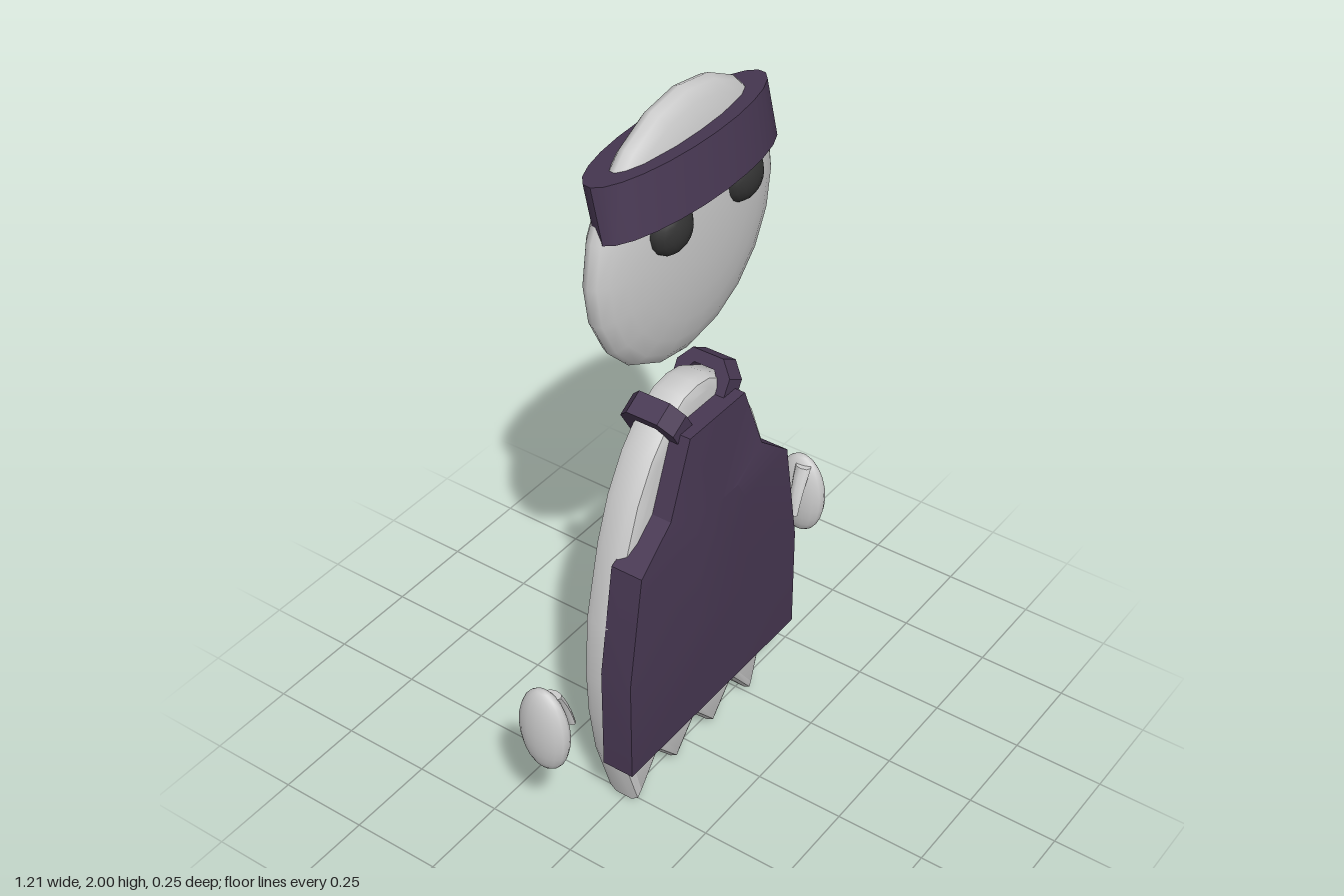
import * as THREE from 'three';
import { toCreasedNormals } from 'three/addons/utils/BufferGeometryUtils.js';

const grey = new THREE.MeshStandardMaterial({ color: 0xcccccc });
const cloth = new THREE.MeshStandardMaterial({ color: 0x483853 });
const dark = new THREE.MeshStandardMaterial({ color: 0x333333 });

function add(parent, name, geometry, material) {
  const mesh = new THREE.Mesh(geometry, material);
  mesh.name = name;
  parent.add(mesh);
  return mesh;
}

// Points of the right half, completed by their mirror image
const mirrored = (half) => [...half, ...half.filter(([x]) => x > 0).reverse().map(([x, y]) => [-x, y])];
const toShape = (points) => new THREE.Shape(points.map(([x, y]) => new THREE.Vector2(x, y)));

// Low-poly ellipsoid with its poles along z
function disc(rx, ry, rz, sides, rows) {
  return new THREE.SphereGeometry(1, sides, rows).rotateX(Math.PI / 2).scale(rx, ry, rz);
}

// Joins rings of equal length into one closed surface
function loft(rings) {
  const n = rings[0].length;
  const index = [];
  for (let r = 0; r < rings.length - 1; r++) {
    for (let i = 0; i < n; i++) {
      const a = r * n + i, b = r * n + (i + 1) % n;
      index.push(a, b, b + n, a, b + n, a + n);
    }
  }
  const geometry = new THREE.BufferGeometry();
  geometry.setAttribute('position', new THREE.Float32BufferAttribute(rings.flat(2), 3));
  geometry.setIndex(index);
  return toCreasedNormals(geometry, 0.5);
}

function makeBody() {
  const outline = mirrored([
    [0, 0.115], [0.085, 0.02], [0.17, 0.115], [0.263, 0.005], [0.328, 0.2], [0.351, 0.35],
    [0.357, 0.48], [0.345, 0.66], [0.295, 0.87], [0.25, 0.99], [0.19, 1.09],
    [0.12, 1.165], [0.055, 1.202], [0, 1.21],
  ]);
  const geometry = new THREE.ExtrudeGeometry(toShape(outline), {
    depth: 0.05, bevelThickness: 0.028, bevelSize: 0.03, bevelOffset: -0.03, bevelSegments: 2,
  });
  return toCreasedNormals(geometry.translate(0, 0, -0.03), 0.6);
}

// Apron with a gently bulging front
function makeApron() {
  const outline = mirrored([[0.367, 0.22], [0.367, 0.527], [0.315, 0.84], [0.195, 0.938], [0.115, 1.14]]);
  return loft([
    outline.map(() => [0, 0.6, 0.02]),
    outline.map(([x, y]) => [x, y, y > 0.85 ? 0.04 : 0.013]),
    outline.map(([x, y]) => [x, y, 0.103]),
    outline.map(([x, y]) => [x * 0.3, THREE.MathUtils.clamp(y, 0.55, 0.9), 0.125]),
    outline.map(() => [0, 0.7, 0.125]),
  ]);
}

// Strap arching over the shoulder, square to the sloping edge
function makeStrap(side) {
  const arch = toShape([
    [0.078, -0.01], [0.078, 0.065], [0.045, 0.105], [-0.045, 0.105], [-0.078, 0.065], [-0.078, -0.01],
    [-0.045, -0.01], [-0.045, 0.05], [-0.03, 0.072], [0.03, 0.072], [0.045, 0.05], [0.045, -0.01],
  ]);
  const geometry = new THREE.ExtrudeGeometry(arch, { depth: 0.062, bevelEnabled: false }).translate(0, 0, -0.031);
  const across = new THREE.Vector3(0, 0, 1);
  const outward = new THREE.Vector3(side * 0.51, 0.86, 0).normalize();
  const along = new THREE.Vector3().crossVectors(across, outward);
  geometry.applyMatrix4(new THREE.Matrix4().makeBasis(across, outward, along));
  return geometry.translate(side * 0.084, 1.11, -0.004);
}

// Thumb: tapered rod that curves inward and down
function makeThumb(side) {
  const geometry = new THREE.CylinderGeometry(0.016, 0.01, 0.13, 8, 5).scale(1, 1, 1.5);
  const p = geometry.attributes.position;
  for (let i = 0; i < p.count; i++) {
    const t = 0.5 - p.getY(i) / 0.13;
    p.setX(i, p.getX(i) - side * (0.075 * t - 0.02 * t * t));
    p.setZ(i, p.getZ(i) + 0.006 * t);
  }
  geometry.computeVertexNormals();
  return toCreasedNormals(geometry, 0.8);
}

export function createModel() {
  const model = new THREE.Group();
  model.name = 'ghost';

  // Head, eyes and tilted headband
  const head = new THREE.Group();
  head.name = 'head';
  model.add(head);
  add(head, 'face', disc(0.352, 0.353, 0.087, 20, 14), grey).position.set(0, 1.648, -0.008);
  for (const side of [-1, 1]) {
    add(head, side > 0 ? 'leftEye' : 'rightEye', disc(0.068, 0.068, 0.05, 16, 10), dark)
      .position.set(side * 0.14, 1.73, 0.06);
  }
  const bandShape = new THREE.CylinderGeometry(1, 1, 0.14, 24).scale(0.322, 1, 0.112);
  const band = add(head, 'headband', toCreasedNormals(bandShape, 0.6), cloth);
  band.position.set(0, 1.825, 0);
  band.rotation.x = -0.22;

  // Body with ragged hem, and the apron over it
  add(model, 'body', makeBody(), grey);
  add(model, 'apron', makeApron(), cloth);

  for (const side of [-1, 1]) {
    const label = side > 0 ? 'left' : 'right';
    add(model, label + 'Strap', makeStrap(side), cloth);

    // Floating hand
    const hand = new THREE.Group();
    hand.name = label + 'Hand';
    model.add(hand);
    add(hand, 'palm', new THREE.SphereGeometry(1, 16, 12).scale(0.038, 0.128, 0.075), grey)
      .position.set(side * 0.568, 0.487, -0.008);
    add(hand, 'thumb', makeThumb(side), grey).position.set(side * 0.55, 0.53, 0.008);
  }
  return model;
}
